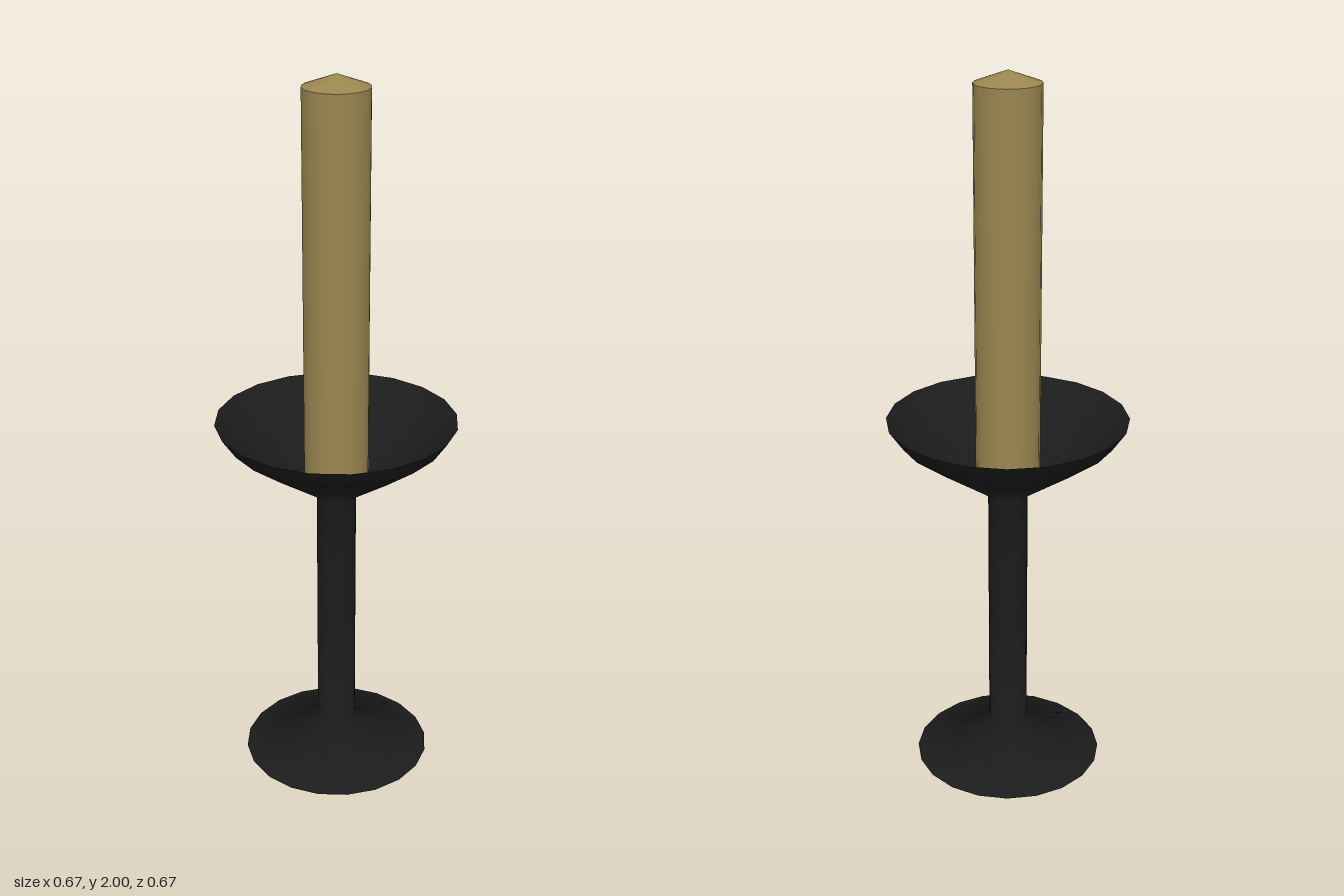
import * as THREE from 'three';

const SIDES = 20;
const iron = new THREE.MeshStandardMaterial({ color: 0x1c1c1c });
const wax = new THREE.MeshStandardMaterial({ color: 0x9a8650 });

// Turned surface from [radius, height] pairs, with its own smooth normals
function turned(name, profile, material) {
  const points = profile.map(([r, y]) => new THREE.Vector2(r, y));
  const mesh = new THREE.Mesh(new THREE.LatheGeometry(points, SIDES), material);
  mesh.name = name;
  return mesh;
}

export function createModel() {
  const model = new THREE.Group();
  model.name = 'candlestick';

  // Holder: flat underside, flared foot, slim stem and open dish
  const holder = new THREE.Group();
  holder.name = 'holder';
  holder.add(
    turned('footUnderside', [[0, 0], [0.268, 0]], iron),
    turned('footEdge', [[0.268, 0], [0.262, 0.006]], iron),
    turned('footStemAndDish', [
      [0.262, 0.006], [0.055, 0.105], [0.055, 0.835],
      [0.2, 0.935], [0.295, 1.005], [0.333, 1.06],
    ], iron),
    turned('dishInside', [
      [0.333, 1.06], [0.28, 1.012], [0.185, 0.945], [0.08, 0.895], [0, 0.89],
    ], iron),
  );

  // Candle with a shallow conical tip, standing in the dish
  const candle = new THREE.Group();
  candle.name = 'candle';
  candle.add(
    turned('candleBase', [[0, 0.88], [0.089, 0.88]], wax),
    turned('candleBody', [[0.089, 0.88], [0.089, 1.968]], wax),
    turned('candleTip', [[0.089, 1.968], [0, 2]], wax),
  );

  model.add(holder, candle);
  return model;
}
